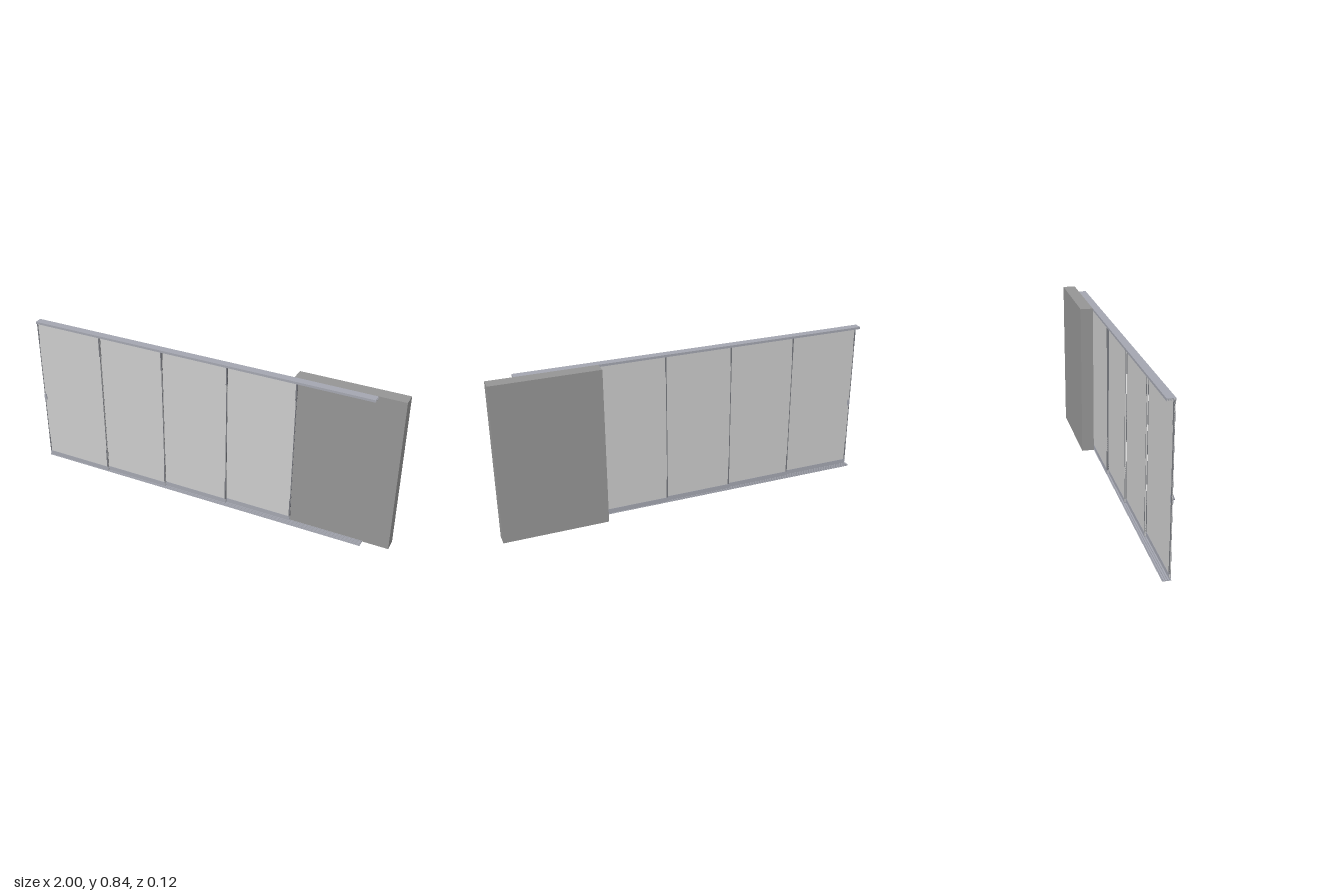
import * as THREE from 'three';

const grey = new THREE.MeshStandardMaterial({ color: 0xcccccc });
const wallGrey = new THREE.MeshStandardMaterial({ color: 0x959595 });
const metal = new THREE.MeshStandardMaterial({ color: 0xa4a6b0 });
const sealGrey = new THREE.MeshStandardMaterial({ color: 0x77797f });

// Box given by its minimum and maximum on each axis
function box(name, material, [x0, x1], [y0, y1], [z0, z1]) {
  const mesh = new THREE.Mesh(new THREE.BoxGeometry(x1 - x0, y1 - y0, z1 - z0), material);
  mesh.position.set((x0 + x1) / 2, (y0 + y1) / 2, (z0 + z1) / 2);
  mesh.name = name;
  return mesh;
}

const TOP = 0.84, BACK = 0.01, PITCH = 0.0102, COUNT = 4;
const RAIL = [-1, 0.865];
const RAIL_FRONT = BACK + COUNT * PITCH;

// Comb-shaped section with evenly spaced fins, extruded along x
function finnedRail(name, baseY, plateY, finY, finCentres, finWidth) {
  const shape = new THREE.Shape();
  shape.moveTo(-RAIL_FRONT, baseY);
  shape.lineTo(-RAIL_FRONT, plateY);
  for (const z of [...finCentres].reverse()) {
    const a = -z - finWidth / 2, b = -z + finWidth / 2;
    shape.lineTo(a, plateY);
    shape.lineTo(a, finY);
    shape.lineTo(b, finY);
    shape.lineTo(b, plateY);
  }
  shape.lineTo(-BACK, plateY);
  shape.lineTo(-BACK, baseY);
  const geometry = new THREE.ExtrudeGeometry(shape, { depth: RAIL[1] - RAIL[0], bevelEnabled: false });
  geometry.rotateY(Math.PI / 2);
  geometry.translate(RAIL[0], 0, 0);
  const mesh = new THREE.Mesh(geometry, metal);
  mesh.name = name;
  return mesh;
}

// One sliding pane: glass, bottom carrier, edge seals and corner brackets
function slidingPanel(x0, x1, z) {
  const panel = new THREE.Group();
  panel.name = 'slidingPanel';
  const around = (t) => [z - t / 2, z + t / 2];
  panel.add(box('glass', grey, [x0, x1], [0.012, 0.833], around(0.006)));
  panel.add(box('bottomCarrier', metal, [x0, x1], [0.007, 0.03], around(0.0085)));
  for (const [edge, dir] of [[x0, 1], [x1, -1]]) {
    const span = (w) => [Math.min(edge, edge + dir * w), Math.max(edge, edge + dir * w)];
    panel.add(box('edgeSeal', sealGrey, span(0.004), [0.03, 0.832], around(0.0075)));
    for (const y of [[0.03, 0.14], [0.72, 0.832]]) {
      panel.add(box('cornerBracket', sealGrey, span(0.007), y, around(0.0085)));
    }
  }
  return panel;
}

// Small pull with a back plate and a round grip
function handle(x, y, z) {
  const group = new THREE.Group();
  group.name = 'handle';
  group.add(box('handlePlate', metal, [x - 0.007, x + 0.007], [y - 0.018, y + 0.018], [z - 0.009, z + 0.003]));
  const knob = new THREE.Mesh(new THREE.CylinderGeometry(0.005, 0.005, 0.007, 20), metal);
  knob.rotation.x = Math.PI / 2;
  knob.position.set(x, y, z + 0.0055);
  knob.name = 'handleKnob';
  group.add(knob);
  return group;
}

export function createModel() {
  const model = new THREE.Group();
  model.name = 'slidingGlassWall';

  model.add(box('wall', wallGrey, [0.455, 1], [0, TOP], [-0.058, BACK]));

  // Upper channel: guide fins between the panes; lower track: runners under them
  const guides = Array.from({ length: COUNT + 1 }, (_, i) =>
    BACK + 0.0006 + i * (COUNT * PITCH - 0.0012) / COUNT);
  const runners = Array.from({ length: COUNT }, (_, i) => BACK + (i + 0.5) * PITCH);
  model.add(finnedRail('topRail', TOP, TOP - 0.002, 0.828, guides, 0.0011));
  model.add(finnedRail('bottomTrack', 0, 0.002, 0.007, runners, 0.003));

  // Panes step back one track at a time towards the wall
  const joints = [-0.995, -0.61, -0.25, 0.11, 0.472];
  for (let i = 0; i < COUNT; i++) {
    const overlap = i ? 0.005 : 0;
    model.add(slidingPanel(joints[i] - overlap, joints[i + 1] + 0.003, runners[COUNT - 1 - i]));
  }
  model.add(handle(-0.988, 0.387, 0.05));
  return model;
}
